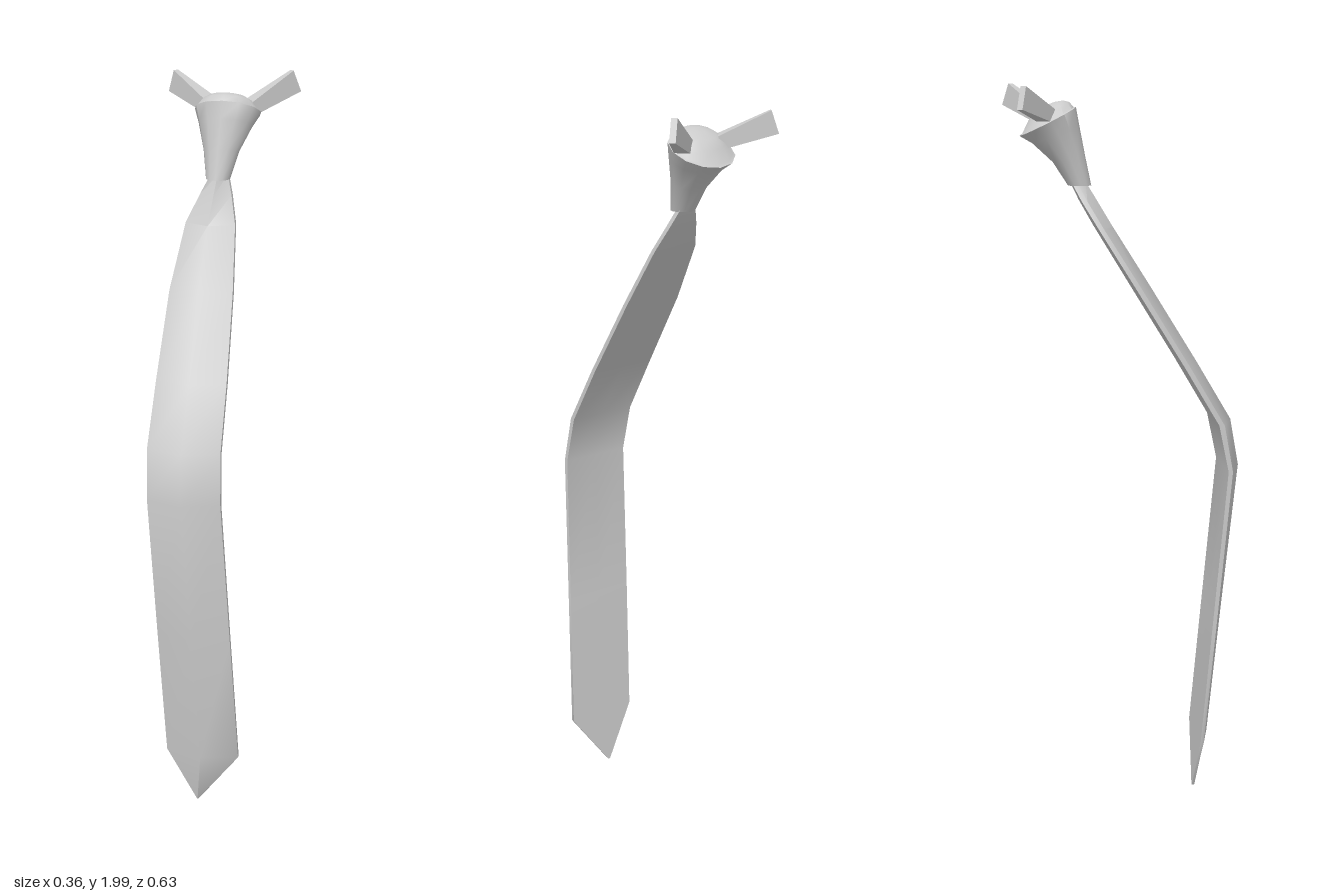
import * as THREE from 'three';
import { toCreasedNormals } from 'three/addons/utils/BufferGeometryUtils.js';

const material = new THREE.MeshStandardMaterial({ color: 0xcccccc, side: THREE.DoubleSide });

// Skin a list of equal-sized rings (counter-clockwise about the travel direction), capped at both ends
function loft(name, rings, crease) {
  const n = rings[0].length, index = [];
  for (let i = 0; i < rings.length - 1; i++) {
    for (let j = 0; j < n; j++) {
      const a = i * n + j, b = i * n + (j + 1) % n;
      index.push(a, b, b + n, a, b + n, a + n);
    }
  }
  const last = (rings.length - 1) * n;
  for (let j = 1; j < n - 1; j++) {
    index.push(0, j + 1, j, last, last + j, last + j + 1);
  }
  const geometry = new THREE.BufferGeometry();
  geometry.setAttribute('position', new THREE.Float32BufferAttribute(rings.flat(2), 3));
  geometry.setIndex(index);
  const mesh = new THREE.Mesh(toCreasedNormals(geometry, crease), material);
  mesh.name = name;
  return mesh;
}

// Blade: ridged front, flat back, thin side edges
function createBlade() {
  // y, left x, right x, ridge z, edge z, back z
  const sections = [
    [0.01, 0.012, 0.018, 0.2, 0.197, 0.192],
    [0.17, -0.07, 0.135, 0.237, 0.212, 0.203],
    [0.55, -0.085, 0.117, 0.272, 0.245, 0.234],
    [0.96, -0.1, 0.098, 0.312, 0.28, 0.268],
    [1.09, -0.105, 0.092, 0.288, 0.255, 0.24],
    [1.25, -0.104, 0.086, 0.193, 0.16, 0.145],
    [1.46, -0.1, 0.072, 0.063, 0.03, 0.015],
    [1.62, -0.08, 0.055, -0.038, -0.07, -0.084],
    [1.69, -0.05, 0.036, -0.08, -0.11, -0.125],
    [1.74, -0.026, 0.02, -0.11, -0.135, -0.15],
  ];
  const rings = sections.map(([y, l, r, ridge, edge, back]) => {
    const c = (l + r) / 2;
    return [[c, y, ridge], [r, y, edge], [r, y, back], [c, y, back], [l, y, back], [l, y, edge]];
  });
  return loft('blade', rings, 0.75);
}

// Knot: cone flaring to a tilted rim, closed by a low dome
function createKnot() {
  const sides = 12;
  // centre x, y, z, radius x, radius z, backward tilt
  const sections = [
    [-0.005, 1.73, -0.126, 0.033, 0.031, 0],
    [-0.002, 1.8, -0.154, 0.049, 0.043, 0.2],
    [0.002, 1.865, -0.188, 0.075, 0.062, 0.4],
    [0.003, 1.897, -0.209, 0.091, 0.075, 0.5],
    [0.003, 1.9, -0.208, 0.085, 0.068, 0.5],
    [0.004, 1.923, -0.206, 0.069, 0.054, 0.45],
    [0.004, 1.937, -0.203, 0.045, 0.035, 0.4],
    [0.004, 1.943, -0.2, 0.015, 0.012, 0.4],
  ];
  const rings = sections.map(([cx, y, cz, rx, rz, tilt]) =>
    Array.from({ length: sides }, (_, j) => {
      const t = (j / sides) * Math.PI * 2, dz = rz * Math.cos(t);
      return [cx + rx * Math.sin(t), y + dz * tilt, cz + dz];
    }));
  return loft('knot', rings, 0.8);
}

// Collar strap: four-cornered strip running outward, up and back from the knot
function createStrap(name, base, end) {
  const from = new THREE.Vector3(...base), to = new THREE.Vector3(...end);
  const dir = to.clone().sub(from).normalize();
  const across = new THREE.Vector3().crossVectors(dir, new THREE.Vector3(0, 1, 0)).normalize();
  const up = new THREE.Vector3().crossVectors(across, dir);
  const ring = (centre, thick, height) => [[-1, -1], [1, -1], [1, 1], [-1, 1]].map(([u, v]) =>
    centre.clone().addScaledVector(across, -u * thick / 2).addScaledVector(up, v * height / 2)
      .toArray()).reverse();
  return loft(name, [ring(from, 0.045, 0.035), ring(to, 0.016, 0.062)], 0.5);
}

export function createModel() {
  const model = new THREE.Group();
  model.name = 'necktie';
  model.add(
    createBlade(),
    createKnot(),
    createStrap('leftStrap', [0.06, 1.905, -0.21], [0.168, 1.967, -0.305]),
    createStrap('rightStrap', [-0.05, 1.91, -0.213], [-0.168, 1.958, -0.288]),
  );
  return model;
}
